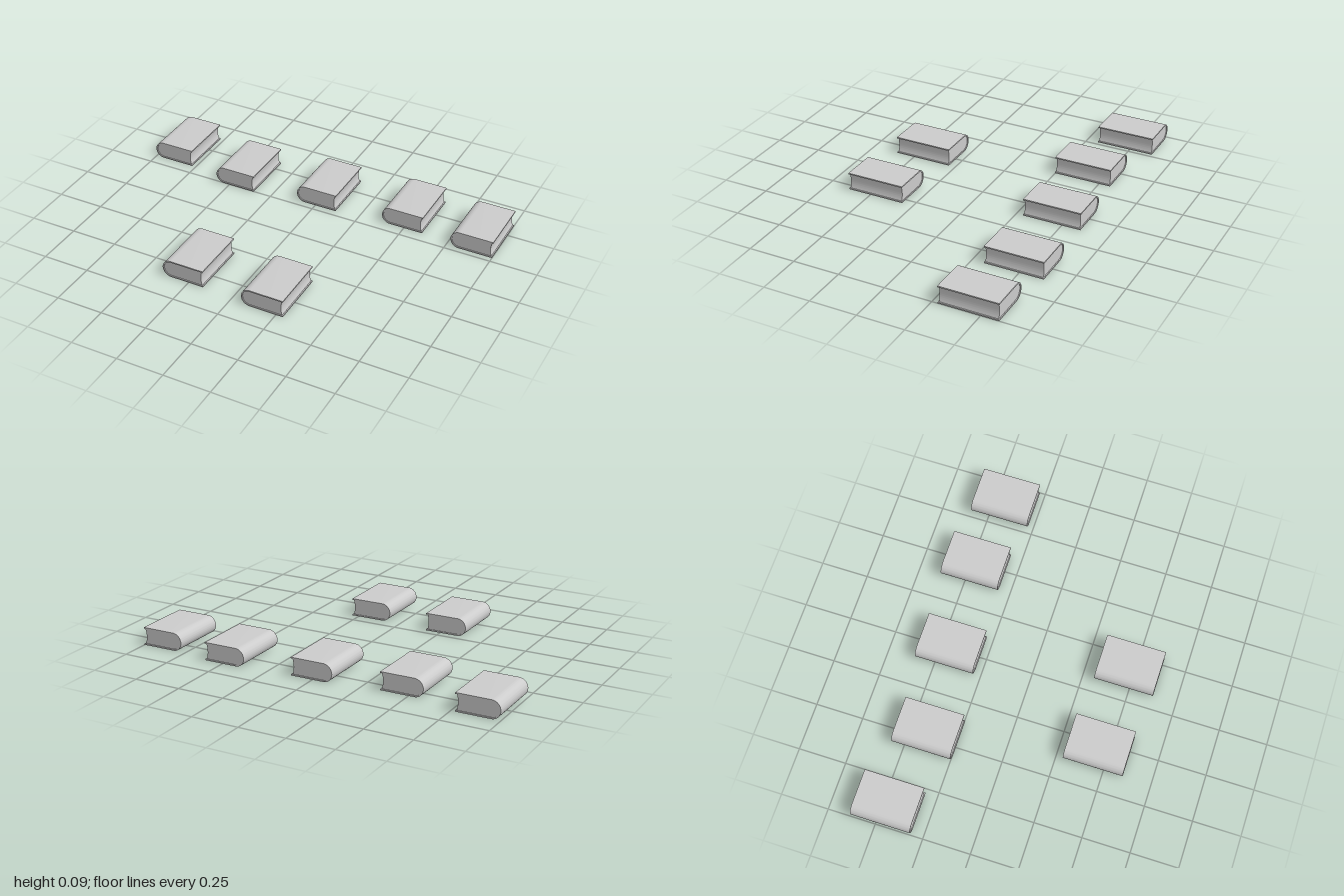
import * as THREE from 'three';
import { toCreasedNormals } from 'three/addons/utils/BufferGeometryUtils.js';

const W = 0.228, H = 0.095, L = 0.314, T = 0.007; // width, thickness, length, cover board
const R = H / 2;
const material = new THREE.MeshStandardMaterial({ color: 0xcccccc });

// Extrude an x-y profile along z, centred, smooth on the round spine
function extrude(shape, depth) {
  const geo = new THREE.ExtrudeGeometry(shape, { depth, bevelEnabled: false, curveSegments: 16 });
  geo.translate(0, 0, -depth / 2);
  return toCreasedNormals(geo, 0.6);
}

// U-shaped cover: two boards joined by a round spine at -x
function coverGeometry() {
  const right = W / 2, cx = -W / 2 + R;
  const s = new THREE.Shape();
  s.moveTo(right, 0);
  s.lineTo(right, T);
  s.lineTo(cx, T);
  s.absarc(cx, R, R - T, -Math.PI / 2, Math.PI / 2, true);
  s.lineTo(right, H - T);
  s.lineTo(right, H);
  s.lineTo(cx, H);
  s.absarc(cx, R, R, Math.PI / 2, Math.PI * 1.5, false);
  s.lineTo(right, 0);
  return extrude(s, L);
}

// Page block: round at the spine, slightly hollow at the fore edge
function pagesGeometry() {
  const right = W / 2 - 0.006, cx = -W / 2 + R;
  const s = new THREE.Shape();
  s.moveTo(cx, T);
  s.lineTo(right, T);
  s.quadraticCurveTo(right - 0.014, R, right, H - T);
  s.lineTo(cx, H - T);
  s.absarc(cx, R, R - T, Math.PI / 2, Math.PI * 1.5, false);
  return extrude(s, L - 0.01);
}

export function createModel() {
  const model = new THREE.Group();
  model.name = 'books';
  const cover = coverGeometry(), pages = pagesGeometry();

  // Book centres [x, z]: a back row of five and a front row of two
  const places = [
    [-0.886, -0.471], [-0.464, -0.405], [0.005, -0.444], [0.488, -0.471], [0.886, -0.437],
    [-0.282, 0.445], [0.174, 0.47],
  ];
  places.forEach(([x, z], i) => {
    const book = new THREE.Group();
    book.name = `book${i + 1}`;
    for (const [name, geo] of [['cover', cover], ['pages', pages]]) {
      const mesh = new THREE.Mesh(geo, material);
      mesh.name = name;
      book.add(mesh);
    }
    book.position.set(x, 0, z);
    model.add(book);
  });
  return model;
}
